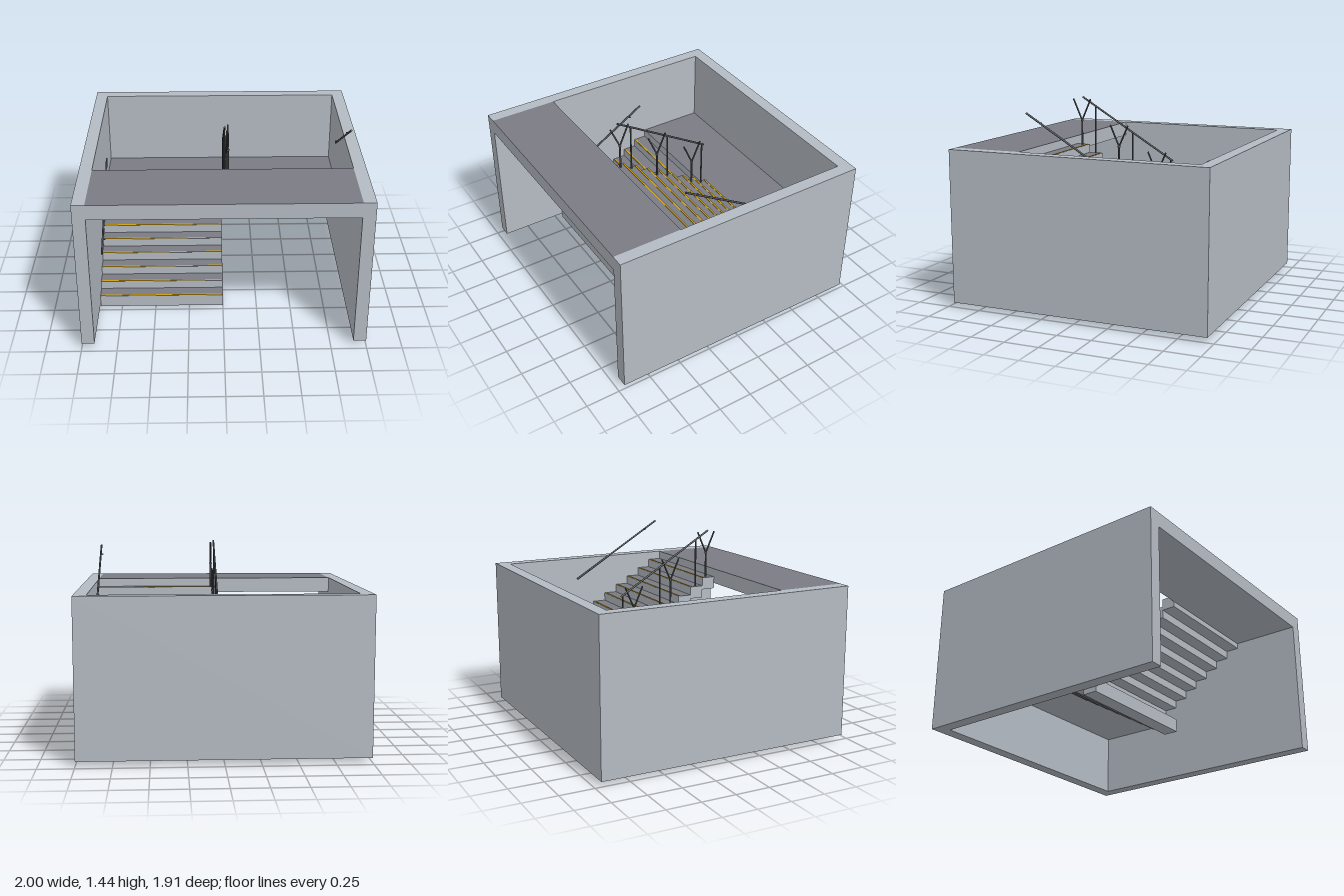
import * as THREE from 'three';

const concrete = new THREE.MeshStandardMaterial({ color: 0xb4bbc3 });
concrete.name = 'concrete';
const paving = new THREE.MeshStandardMaterial({ color: 0x7a7b84 });
paving.name = 'darkPaving';
const yellow = new THREE.MeshStandardMaterial({ color: 0xd0a20c });
yellow.name = 'nosingYellow';
const steel = new THREE.MeshStandardMaterial({ color: 0x505356 });
steel.name = 'darkSteel';

const RISE = 0.0618, TREAD = 0.102, THICK = 0.09;
const STEPS = 8, INNER = 0.91, HALF = 0.955;
const Z_BACK = -0.365, Z_FRONT = 0.45;
const LANDING = 0.584, FLOOR = 1.14;
const SLOPE = RISE / TREAD;

export function createModel() {
  const model = new THREE.Group();
  model.name = 'stairwell';

  function box(name, x0, x1, y0, y1, z0, z1, material, parent = model) {
    const mesh = new THREE.Mesh(new THREE.BoxGeometry(x1 - x0, y1 - y0, z1 - z0), material);
    mesh.position.set((x0 + x1) / 2, (y0 + y1) / 2, (z0 + z1) / 2);
    mesh.name = name;
    parent.add(mesh);
  }

  // Round bar between two points
  function bar(name, a, b, radius, parent) {
    const from = new THREE.Vector3(...a), to = new THREE.Vector3(...b);
    const dir = to.clone().sub(from);
    const mesh = new THREE.Mesh(new THREE.CylinderGeometry(radius, radius, dir.length(), 12), steel);
    mesh.position.copy(from).add(to).multiplyScalar(0.5);
    mesh.quaternion.setFromUnitVectors(new THREE.Vector3(0, 1, 0), dir.normalize());
    mesh.name = name;
    parent.add(mesh);
  }

  // Concrete slabs with paving on the top face only
  const paved = [concrete, concrete, paving, concrete, concrete, concrete];

  // U-shaped enclosing wall, open to the front
  const plan = new THREE.Shape([
    [-1, -HALF], [-INNER, -HALF], [-INNER, 0.865], [INNER, 0.865],
    [INNER, -HALF], [1, -HALF], [1, HALF], [-1, HALF],
  ].map(([x, y]) => new THREE.Vector2(x, y)));
  const wallGeometry = new THREE.ExtrudeGeometry(plan, { depth: FLOOR - 0.035, bevelEnabled: false });
  wallGeometry.rotateX(-Math.PI / 2);
  const walls = new THREE.Mesh(wallGeometry, concrete);
  walls.position.y = 0.035;
  walls.name = 'walls';
  model.add(walls);

  // Upper floor and half landing
  box('upperFloor', -INNER, INNER, 1.03, FLOOR, Z_FRONT, HALF, paved);
  box('landing', -INNER, INNER, LANDING - THICK, LANDING, -0.865, Z_BACK, paved);

  // Two flights: the lower climbs to the back, the upper returns to the front
  const lower = new THREE.Group(), upper = new THREE.Group();
  lower.name = 'lowerFlight';
  upper.name = 'upperFlight';
  model.add(lower, upper);
  for (let i = 0; i < STEPS; i++) {
    const yLow = THICK + RISE * i;
    const zLow = Z_FRONT - TREAD * i;
    box('step', -INNER, 0, yLow - THICK, yLow, zLow - TREAD, zLow, paved, lower);
    box('nosingStrip', -0.9, -0.01, yLow, yLow + 0.003, zLow - 0.015, zLow - 0.003, yellow, lower);

    const yUp = LANDING + RISE * (i + 1);
    const zUp = Z_BACK + TREAD * i;
    box('step', 0, INNER, yUp - THICK, yUp, zUp, zUp + TREAD, paved, upper);
    box('nosingStrip', 0.01, 0.9, yUp, yUp + 0.003, zUp + 0.003, zUp + 0.015, yellow, upper);
  }

  // Wall handrails with small pegs facing the stairs
  function wallRail(name, x, heightAt) {
    const rail = new THREE.Group();
    rail.name = name;
    model.add(rail);
    bar('handrail', [x, heightAt(-0.31), -0.31], [x, heightAt(0.4), 0.4], 0.007, rail);
    for (const z of [-0.205, 0.295]) {
      const y = heightAt(z);
      bar('bracket', [x, y, z], [x - Math.sign(x) * 0.02, y, z], 0.005, rail);
    }
  }
  wallRail('lowerHandrail', -0.885, z => 0.425 + SLOPE * (0.4 - z));
  wallRail('upperHandrail', 0.885, z => 1.405 - SLOPE * (0.4 - z));

  // Central balustrade: sloping rail, plain posts and forked posts
  const balustrade = new THREE.Group();
  balustrade.name = 'balustrade';
  model.add(balustrade);
  const railY = z => 1.437 - SLOPE * (0.4 - z);
  const treadY = z => LANDING + RISE * (Math.floor((z - Z_BACK) / TREAD) + 1);
  const railX = 0.013, forkX = 0.035;
  bar('centreRail', [railX, railY(-0.33), -0.33], [railX, railY(0.4), 0.4], 0.007, balustrade);
  for (let i = 0; i < 3; i++) {
    const zPost = 0.295 - 0.305 * i;
    bar('post', [railX, treadY(zPost), zPost], [railX, railY(zPost), zPost], 0.006, balustrade);

    const z = 0.397 - 0.305 * i;
    const y = 1.263 - 0.305 * SLOPE * i;
    bar('forkPost', [forkX, treadY(z), z], [forkX, y, z], 0.007, balustrade);
    for (const side of [-1, 1]) {
      bar('forkArm', [forkX, y, z], [forkX, y + 0.16, z + side * 0.071], 0.006, balustrade);
    }
    const joint = new THREE.Mesh(new THREE.SphereGeometry(0.011, 12, 8), steel);
    joint.position.set(forkX, y, z);
    joint.name = 'forkJoint';
    balustrade.add(joint);
  }

  return model;
}
